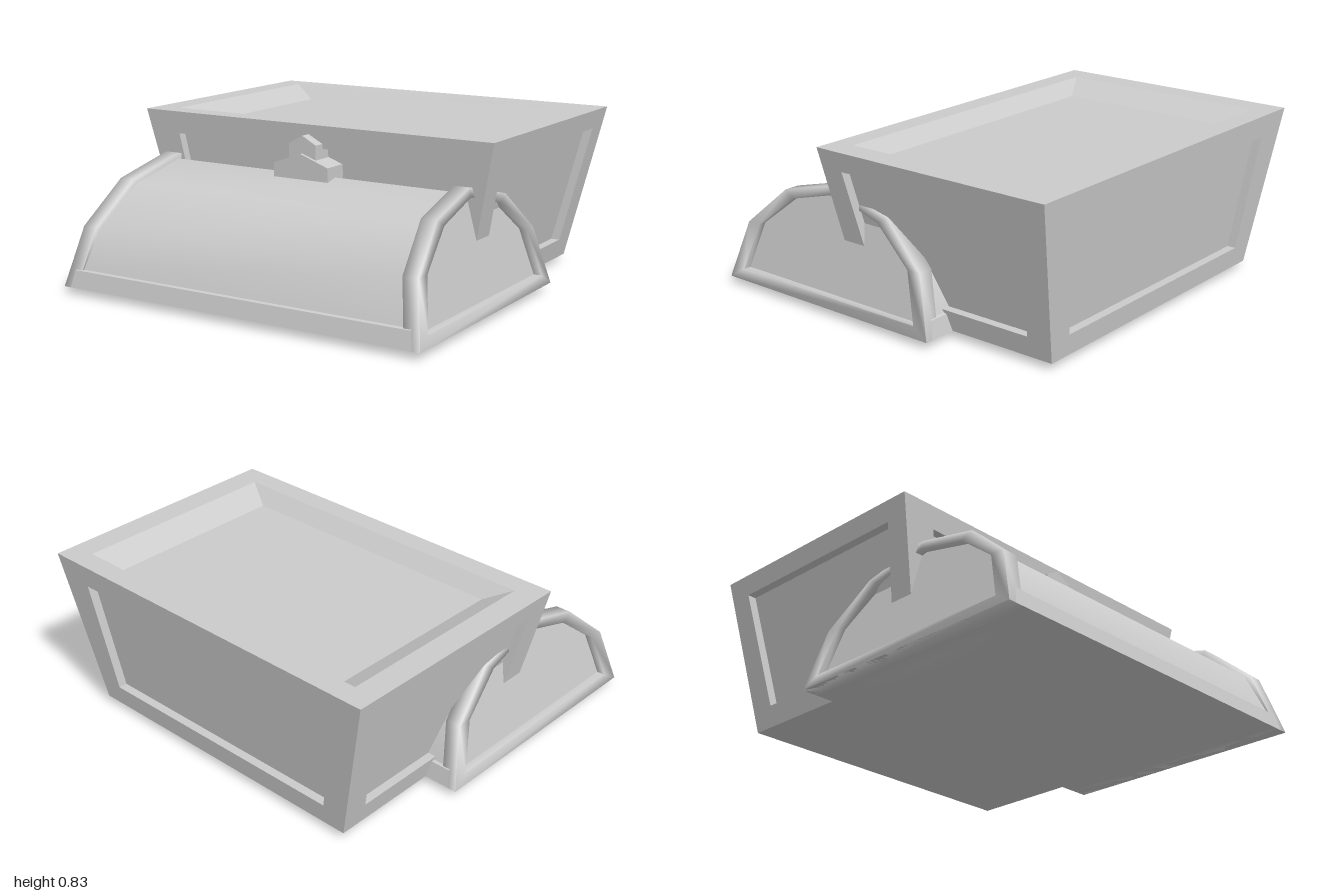
import * as THREE from 'three';
import { toCreasedNormals } from 'three/addons/utils/BufferGeometryUtils.js';

const material = new THREE.MeshStandardMaterial({ color: 0xcccccc });
const BASE = 0.035;

function addMesh(parent, name, geometry, mat = material) {
  const mesh = new THREE.Mesh(geometry, mat);
  mesh.name = name;
  parent.add(mesh);
  return mesh;
}

// Geometry from quads, each four corners counter-clockwise from outside
function quadGeometry(quads, crease = 0) {
  const p = [];
  for (const [a, b, c, d] of quads) p.push(...a, ...b, ...c, ...a, ...c, ...d);
  const g = new THREE.BufferGeometry();
  g.setAttribute('position', new THREE.Float32BufferAttribute(p, 3));
  if (crease) return toCreasedNormals(g, crease);
  g.computeVertexNormals();
  return g;
}

// A frame around a sunken panel: outer edge, opening, floor
function recessedFace(outer, opening, floor) {
  const quads = [floor];
  for (let i = 0; i < 4; i++) {
    const j = (i + 1) % 4;
    quads.push([outer[i], outer[j], opening[j], opening[i]]);
    quads.push([opening[i], opening[j], floor[j], floor[i]]);
  }
  return quadGeometry(quads);
}

function createBox() {
  const box = new THREE.Group();
  box.name = 'chestBox';
  box.position.z = -0.335;
  const TOP = 0.835;
  const halfX = (y) => 0.82 + 0.18 * (y - BASE) / 0.8;
  const halfZ = (y) => 0.575 + 0.09 * (y - BASE) / 0.8;

  // Four tapered walls, each turned a quarter further
  const names = ['frontWall', 'leftWall', 'backWall', 'rightWall'];
  names.forEach((name, k) => {
    const side = k % 2 === 1;
    const across = side ? halfZ : halfX;
    const out = side ? halfX : halfZ;
    const corners = (low, high, lowY, highY, depth) =>
      [[-low, lowY], [low, lowY], [high, highY], [-high, highY]].map(([u, y]) => {
        const w = out(y) - depth;
        return [[u, y, w], [w, y, -u], [-u, y, -w], [-w, y, u]][k];
      });
    const outer = corners(across(BASE), across(TOP), BASE, TOP, 0);
    const panel = side ? [0.455, 0.53, 0.14, 0.735] : [0.71, 0.8, 0.14, 0.72];
    addMesh(box, name, recessedFace(outer, corners(...panel, 0), corners(...panel, 0.045)));
  });

  // Top with a sloping-sided recess, plain bottom
  const flat = (x, z, y) => [[-x, y, z], [x, y, z], [x, y, -z], [-x, y, -z]];
  addMesh(box, 'topPanel', recessedFace(
    flat(1, 0.665, TOP), flat(0.87, 0.555, TOP), flat(0.735, 0.483, TOP - 0.07)));
  addMesh(box, 'boxBottom', quadGeometry([flat(0.82, 0.575, BASE).reverse()]));
  return box;
}

// Full arch [z, y] from its front half, ending at the crown
function arch(half) {
  return [...half, ...half.slice(0, -1).reverse().map(([z, y]) => [-z, y])];
}

function createLid() {
  const lid = new THREE.Group();
  lid.name = 'lid';
  lid.position.z = 0.33;
  const endX = (y) => 1 - 0.12 * (y - BASE) / 0.585;
  const rim = arch([[0.665, 0.035], [0.575, 0.33], [0.34, 0.535], [0, 0.62]]);
  const opening = arch([[0.575, 0.09], [0.5, 0.33], [0.285, 0.5], [0, 0.575]]);
  const under = rim.map(([z, y]) => [z * 0.9, BASE + (y - BASE) * 0.9]);
  const ring = (profile, dx) => profile.map(([z, y]) => [endX(y) + dx, y, z]);

  // Arched end rims and the sunken end panels
  const rings = [ring(opening, -0.04), ring(opening, 0), ring(rim, 0),
    ring(rim, -0.08), ring(under, -0.09)];
  const rimQuads = [];
  for (let r = 0; r + 1 < rings.length; r++) {
    const a = rings[r], b = rings[r + 1];
    for (let i = 0; i < a.length; i++) {
      const j = (i + 1) % a.length;
      rimQuads.push([a[i], a[j], b[j], b[i]]);
    }
  }
  const rimGeometry = quadGeometry(rimQuads, 1.8);
  const p = rings[0];
  const panelGeometry = quadGeometry(
    [0, 1, 2].map((i) => [p[i], p[6 - i], p[5 - i], p[i + 1]]));
  for (const name of ['leftEnd', 'rightEnd']) {
    const end = new THREE.Group();
    end.name = name;
    if (name === 'rightEnd') end.rotation.y = Math.PI;
    addMesh(end, 'endRim', rimGeometry);
    addMesh(end, 'endPanel', panelGeometry);
    lid.add(end);
  }

  // Curved cover with a low sill along both long edges
  const cover = arch([[0.665, 0.035], [0.645, 0.12], [0.63, 0.125],
    [0.545, 0.33], [0.32, 0.51], [0, 0.59]]);
  const at = (i, s) => [s * (endX(cover[i][1]) - 0.04), cover[i][1], cover[i][0]];
  const coverQuads = [];
  for (let i = 0; i + 1 < cover.length; i++) {
    coverQuads.push([at(i, -1), at(i, 1), at(i + 1, 1), at(i + 1, -1)]);
  }
  addMesh(lid, 'lidCover', quadGeometry(coverQuads, 0.7));

  // Slightly bulging underside
  const bottom = new THREE.PlaneGeometry(2, 1.33, 50, 20).rotateX(Math.PI / 2);
  const v = bottom.attributes.position;
  for (let i = 0; i < v.count; i++) {
    const fx = THREE.MathUtils.clamp((0.88 - Math.abs(v.getX(i))) / 0.08, 0, 1);
    const fz = Math.max(0, 1 - (v.getZ(i) / 0.58) ** 2);
    v.setY(i, BASE * (1 - fx * fz));
  }
  bottom.computeVertexNormals();
  addMesh(lid, 'lidBottom', bottom);
  return lid;
}

// Two stacked gabled blocks
function createClasp() {
  const clasp = new THREE.Group();
  clasp.name = 'clasp';
  const block = (name, points, front) => {
    const shape = new THREE.Shape(points.map(([x, y]) => new THREE.Vector2(x, y)));
    const g = new THREE.ExtrudeGeometry(shape, { depth: front - 0.23, bevelEnabled: false });
    addMesh(clasp, name, g.translate(0, 0, 0.23));
  };
  block('claspPlate', [[-0.155, 0.575], [0.155, 0.575], [0.155, 0.645],
    [0, 0.7], [-0.155, 0.645]], 0.397);
  block('claspTongue', [[-0.077, 0.62], [0.077, 0.62], [0.077, 0.745],
    [0, 0.787], [-0.077, 0.745]], 0.38);
  return clasp;
}

export function createModel() {
  const model = new THREE.Group();
  model.name = 'chest';
  model.add(createBox(), createLid(), createClasp());
  return model;
}
